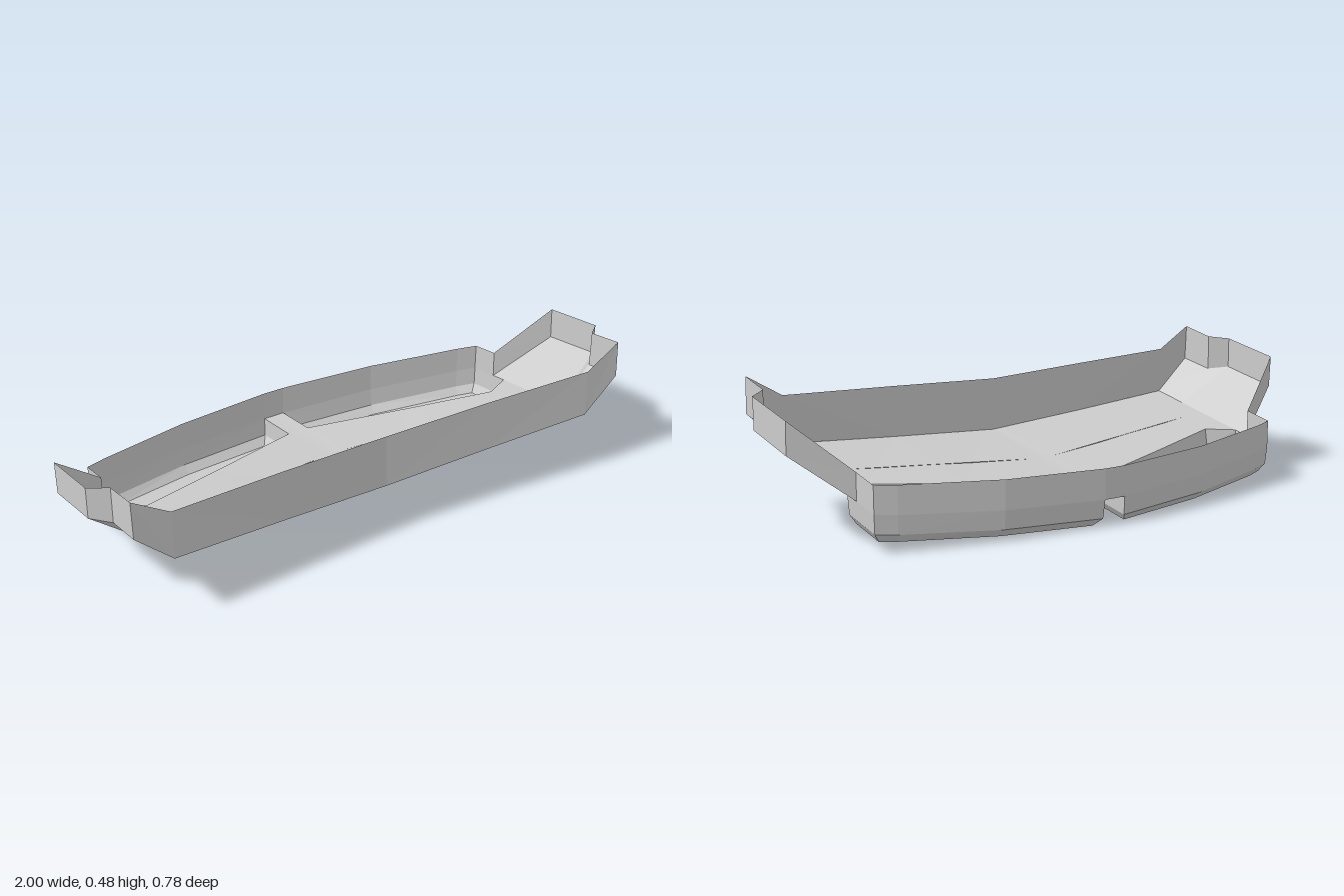
import * as THREE from 'three';

const material = new THREE.MeshStandardMaterial({ color: 0xcccccc, flatShading: true, side: THREE.DoubleSide });

// Height of the tray floor: it rises to the front and to the sides.
const floorY = (x, z) => {
  const t = x / 0.81;
  return 0.146 + 0.025 * t + (0.13 + 0.033 * t) * z;
};
// Put plan points [x, z] at a given drop below the floor.
const onFloor = (points, drop = 0) => points.map(([x, z]) => [x, floorY(x, z) - drop, z]);

// Sheet between two paths of equal length; side = -1 mirrors it to the other half.
function sheet(a, b, side) {
  const pos = [];
  const put = (...pts) => {
    if (side < 0) pts.reverse();
    pts.forEach(([x, y, z]) => pos.push(x * side, y, z));
  };
  for (let i = 0; i < a.length - 1; i++) {
    put(a[i], b[i], b[i + 1]);
    put(a[i], b[i + 1], a[i + 1]);
  }
  const g = new THREE.BufferGeometry();
  g.setAttribute('position', new THREE.Float32BufferAttribute(pos, 3));
  g.computeVertexNormals();
  return g;
}

export function createModel() {
  const model = new THREE.Group();
  const add = (name, a, b) => {
    for (const side of [1, -1]) {
      const mesh = new THREE.Mesh(sheet(a, b, side), material);
      mesh.name = (side > 0 ? 'left' : 'right') + name;
      model.add(mesh);
    }
  };

  // Outer wall, from the front centre round the flare to the back centre
  const flareBase = [[0.94, 0.353, 0.392], [0.94, 0.332, 0.25], [1, 0.341, 0.2], [1, 0.303, -0.035]];
  const backPlan = [[0.81, -0.24], [0.74, -0.265], [0.4, -0.35], [0.04, -0.393], [0, -0.393]];
  const rim = [
    [0, 0.38, 0.34], [0.4, 0.393, 0.36], [0.81, 0.403, 0.386],
    [0.94, 0.482, 0.386], [0.94, 0.459, 0.25], [1, 0.452, 0.2], [1, 0.415, -0.04], [0.81, 0.245, -0.13],
    ...backPlan.map(([x, z]) => [x, 0.245 + (z + 0.13) * 0.168, z]),
  ];
  const frontPlan = [[0, 0.344], [0.4, 0.364], [0.81, 0.392]];
  const wallBase = [...onFloor(frontPlan), ...flareBase, ...onFloor([[0.81, -0.127], ...backPlan])];
  add('OuterWall', wallBase, rim);

  // Sloping floor of the side flare
  const flareInner = onFloor([[0.81, 0.392], [0.81, 0.25], [0.81, 0.2], [0.81, -0.127]]);
  add('FlareFloor', flareInner, flareBase);

  // Main floor up to the pocket, and the spine between the pockets
  add('Floor',
    onFloor([[0.04, 0.346], [0.4, 0.364], [0.71, 0.385], [0.81, 0.392]]),
    onFloor([[0.04, -0.22], [0.4, -0.107], [0.71, -0.01], [0.81, -0.065]]));
  add('Spine', onFloor([[0, 0.344], [0.04, 0.346]]), onFloor([[0, -0.393], [0.04, -0.393]]));

  // Deep rear pocket: upright wall, chamfer and bottom
  const pocketTop = [[0.04, -0.22], [0.4, -0.107], [0.71, -0.01], [0.81, -0.065],
    [0.81, -0.24], [0.74, -0.265], [0.4, -0.35], [0.04, -0.393]];
  const pocketMid = [[0.043, -0.225], [0.4, -0.119], [0.71, -0.023], [0.806, -0.069],
    [0.806, -0.235], [0.738, -0.26], [0.4, -0.344], [0.043, -0.386]];
  const pocketLow = [[0.065, -0.23], [0.4, -0.127], [0.71, -0.03], [0.785, -0.075],
    [0.785, -0.22], [0.73, -0.24], [0.4, -0.318], [0.065, -0.357]];
  const close = (p) => [...p, p[0]];
  const top = onFloor(pocketTop), mid = onFloor(pocketMid, 0.066), low = onFloor(pocketLow, 0.097);
  add('PocketWall', close(mid), close(top));
  add('PocketChamfer', close(low), close(mid));
  add('PocketBottom', low.slice(4).reverse(), low.slice(0, 4));

  // Shallow step under the floor ahead of the pocket
  const step = [[0.04, -0.22], [0.04, 0.022], [0.71, 0.123], [0.71, -0.01]];
  const stepLow = onFloor(step, 0.05);
  add('StepWall', stepLow, onFloor(step));
  add('StepBottom', [stepLow[0], stepLow[3]], [stepLow[1], stepLow[2]]);

  return model;
}
